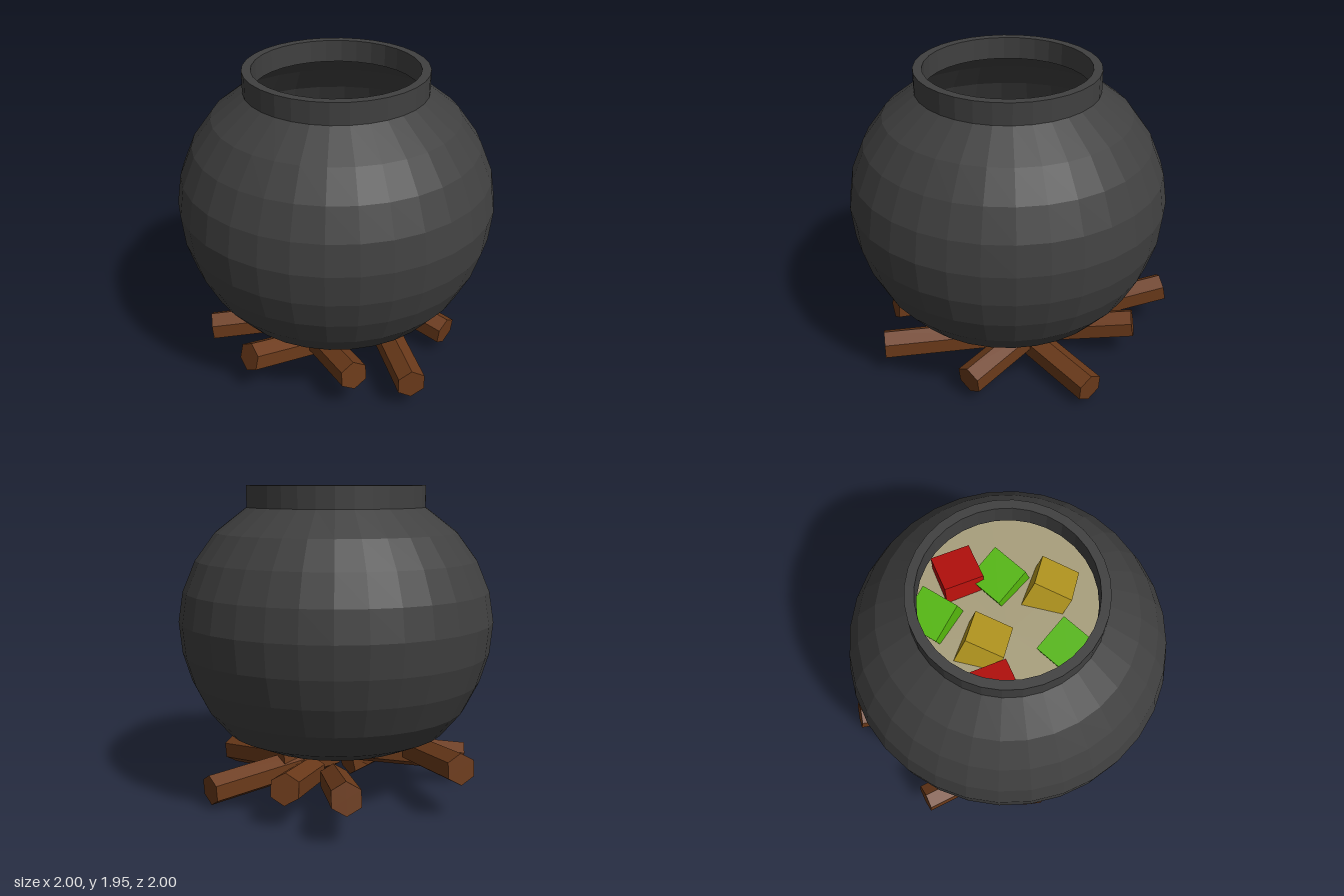
import * as THREE from 'three';

const mat = (color, side = THREE.FrontSide) =>
  new THREE.MeshStandardMaterial({ color, flatShading: true, side });

const IRON = 0x404040, WOOD = 0x6b3a1a, SOUP = 0xa89f7c;
const GREEN = 0x55b80c, RED = 0xb8100c, YELLOW = 0xb89a20;
const SOUP_Y = 1.36;

const lathe = (pts, material) => new THREE.Mesh(
  new THREE.LatheGeometry(pts.map(([r, y]) => new THREE.Vector2(r, y)), 32), material);

// Six-sided log stretched between the centres of its two ends
function makeLog(a, b, material) {
  const from = new THREE.Vector3(...a), to = new THREE.Vector3(...b);
  const geo = new THREE.CylinderGeometry(0.096, 0.096, from.distanceTo(to), 6);
  geo.rotateX(Math.PI / 2);
  const log = new THREE.Mesh(geo, material);
  log.position.copy(from).lerp(to, 0.5);
  log.lookAt(to);
  log.name = 'log';
  return log;
}

// Food cube whose upper face points along n, with one edge heading along (ex, ez)
function makeChunk(name, color, x, z, n, [ex, ez]) {
  const up = new THREE.Vector3(...n).normalize();
  const side = new THREE.Vector3(ex, 0, ez);
  side.addScaledVector(up, -side.dot(up)).normalize();
  const front = new THREE.Vector3().crossVectors(side, up);
  const cube = new THREE.Mesh(new THREE.BoxGeometry(0.25, 0.25, 0.25), mat(color));
  cube.quaternion.setFromRotationMatrix(new THREE.Matrix4().makeBasis(side, up, front));
  cube.position.set(x, SOUP_Y, z);
  cube.name = name;
  return cube;
}

export function createModel() {
  const model = new THREE.Group();

  // Round pot body, open at the neck
  const body = lathe([
    [0, 0.29], [0.3, 0.295], [0.52, 0.335], [0.71, 0.42], [0.835, 0.57], [0.925, 0.75],
    [0.98, 0.93], [1, 1.13], [0.97, 1.32], [0.89, 1.51], [0.765, 1.68], [0.565, 1.835],
  ], mat(IRON, THREE.DoubleSide));
  body.name = 'potBody';
  model.add(body);

  // Thick collar around the opening
  const rim = lathe([
    [0.51, 1.83], [0.565, 1.83], [0.565, 1.97], [0.51, 1.97], [0.51, 1.83],
  ], mat(IRON, THREE.DoubleSide));
  rim.name = 'rim';
  model.add(rim);

  // Soup surface
  const soup = new THREE.Mesh(new THREE.CircleGeometry(0.93, 32), mat(SOUP));
  soup.rotation.x = -Math.PI / 2;
  soup.position.y = SOUP_Y;
  soup.name = 'soup';
  model.add(soup);

  // Floating chunks
  const chunks = new THREE.Group();
  chunks.name = 'chunks';
  const greenTilt = [-0.25, 0.95, 0.03], redTilt = [0.08, 0.98, -0.14], yellowTilt = [0.45, 0.89, 0.04];
  [[0.2, -0.29, 0.24, -0.025], [0.2, 0.325, 0.24, -0.025], [-0.27, -0.37, 0.23, -0.065], [0.54, 0.52, 0.2, 0.1]]
    .forEach(([x, z, ex, ez]) => chunks.add(makeChunk('greenChunk', GREEN, x, z, greenTilt, [ex, ez])));
  [[-0.315, 0.24], [0.01, -0.47]]
    .forEach(([x, z]) => chunks.add(makeChunk('redChunk', RED, x, z, redTilt, [0.23, 0.08])));
  [[-0.175, -0.035], [0.375, -0.035]]
    .forEach(([x, z]) => chunks.add(makeChunk('yellowChunk', YELLOW, x, z, yellowTilt, [0.13, 0.19])));
  model.add(chunks);

  // Loose ring of firewood: outer end, inner end
  const firewood = new THREE.Group();
  firewood.name = 'firewood';
  const wood = mat(WOOD);
  [
    [[0.08, 0.27, 0.8], [0.09, 0.11, 0.15]],
    [[0.64, 0.26, 0.42], [-0.02, 0.19, 0.25]],
    [[0.88, 0.2, 0.16], [0.22, 0.2, -0.18]],
    [[0.62, 0.17, -0.43], [0.0, 0.25, -0.32]],
    [[0.03, 0.13, -0.9], [0.08, 0.2, 0.02]],
    [[-0.52, 0.26, -0.69], [-0.02, 0.14, -0.2]],
    [[-0.93, 0.3, -0.54], [-0.2, 0.13, -0.15]],
    [[-0.97, 0.335, 0.24], [-0.32, 0.265, 0.4]],
    [[-0.44, 0.19, 0.72], [0.0, 0.25, 0.13]],
  ].forEach(([a, b]) => firewood.add(makeLog(a, b, wood)));
  model.add(firewood);

  return model;
}
